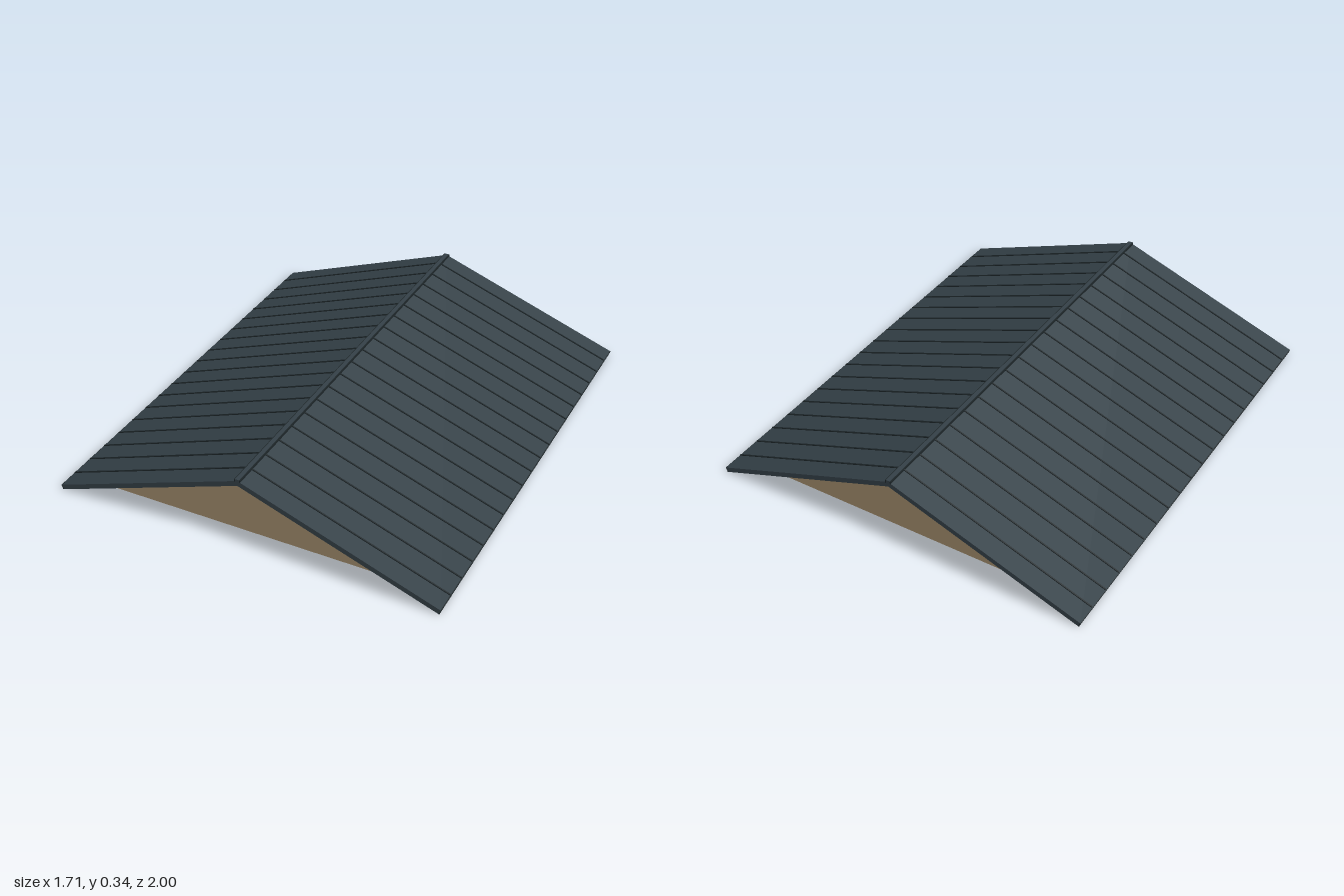
import * as THREE from 'three';

const HALF_LENGTH = 1, EAVE_X = 0.852, RIDGE_Y = 0.331, EAVE_Y = 0.021, THICK = 0.022;
const PITCH = Math.atan2(RIDGE_Y - EAVE_Y, EAVE_X);
const SLOPE = Math.hypot(EAVE_X, RIDGE_Y - EAVE_Y);

const flat = (name, color) => Object.assign(new THREE.MeshStandardMaterial({ color }), { name });

// Closed outline in the x-y plane, extruded along z and centred on z = 0
function prism(points, length) {
  const shape = new THREE.Shape(points.map(([x, y]) => new THREE.Vector2(x, y)));
  return new THREE.ExtrudeGeometry(shape, { depth: length, bevelEnabled: false }).translate(0, 0, -length / 2);
}

export function createModel() {
  const model = new THREE.Group();
  model.name = 'gableRoof';
  const metal = flat('slate metal', 0x344047);
  const dark = flat('dark trim', 0x1d2629);
  const tan = flat('tan gable', 0xa08b6b);

  const add = (parent, name, geometry, material, x = 0, y = 0, z = 0) => {
    const mesh = new THREE.Mesh(geometry, material);
    mesh.name = name;
    mesh.position.set(x, y, z);
    parent.add(mesh);
    return mesh;
  };

  const drop = THREE.MathUtils.degToRad(0) + THICK / Math.cos(PITCH);
  const seamGeometry = new THREE.BoxGeometry(SLOPE - 0.004, 0.004, 0.006);
  const eaveGeometry = new THREE.BoxGeometry(0.004, THICK, 2 * HALF_LENGTH);

  for (const side of [1, -1]) {
    const slope = new THREE.Group();
    slope.name = side > 0 ? 'leftSlope' : 'rightSlope';
    model.add(slope);

    // Sloping panel with a mitred ridge and square-cut eave
    const outline = [
      [0, RIDGE_Y], [0, RIDGE_Y - drop],
      [EAVE_X - THICK * Math.sin(PITCH), EAVE_Y - THICK * Math.cos(PITCH)],
      [EAVE_X, EAVE_Y],
    ].map(([x, y]) => [x * side, y]);
    add(slope, 'roofPanel', prism(outline, 2 * HALF_LENGTH), metal);

    // Standing seams and eave trim, laid out in the plane of the slope
    const surface = new THREE.Group();
    surface.name = 'slopeTrim';
    surface.position.set(side * EAVE_X / 2, (RIDGE_Y + EAVE_Y) / 2, 0);
    surface.rotation.z = -side * PITCH;
    slope.add(surface);
    for (let i = 0; i < 18; i++) {
      add(surface, 'standingSeam', seamGeometry, dark, 0, 0.002, (i - 8.5) * 0.1067);
    }
    add(surface, 'eaveTrim', eaveGeometry, dark, side * SLOPE / 2, -THICK / 2, 0);
  }

  // Ridge cap with narrow dark edges
  add(model, 'ridgeCap', new THREE.BoxGeometry(0.018, 0.014, 2 * HALF_LENGTH), metal, 0, RIDGE_Y - 0.001, 0);
  for (const side of [1, -1]) {
    add(model, 'ridgeCapEdge', new THREE.BoxGeometry(0.004, 0.014, 2 * HALF_LENGTH), dark, side * 0.011, RIDGE_Y - 0.002, 0);
  }

  // Triangular gable walls set in from each end
  const gable = prism([[-0.765, 0.008], [0.765, 0.008], [0, RIDGE_Y - drop + 0.002]], 0.006);
  add(model, 'frontGable', gable, tan, 0, 0, 0.9);
  add(model, 'backGable', gable, tan, 0, 0, -0.9);
  return model;
}
